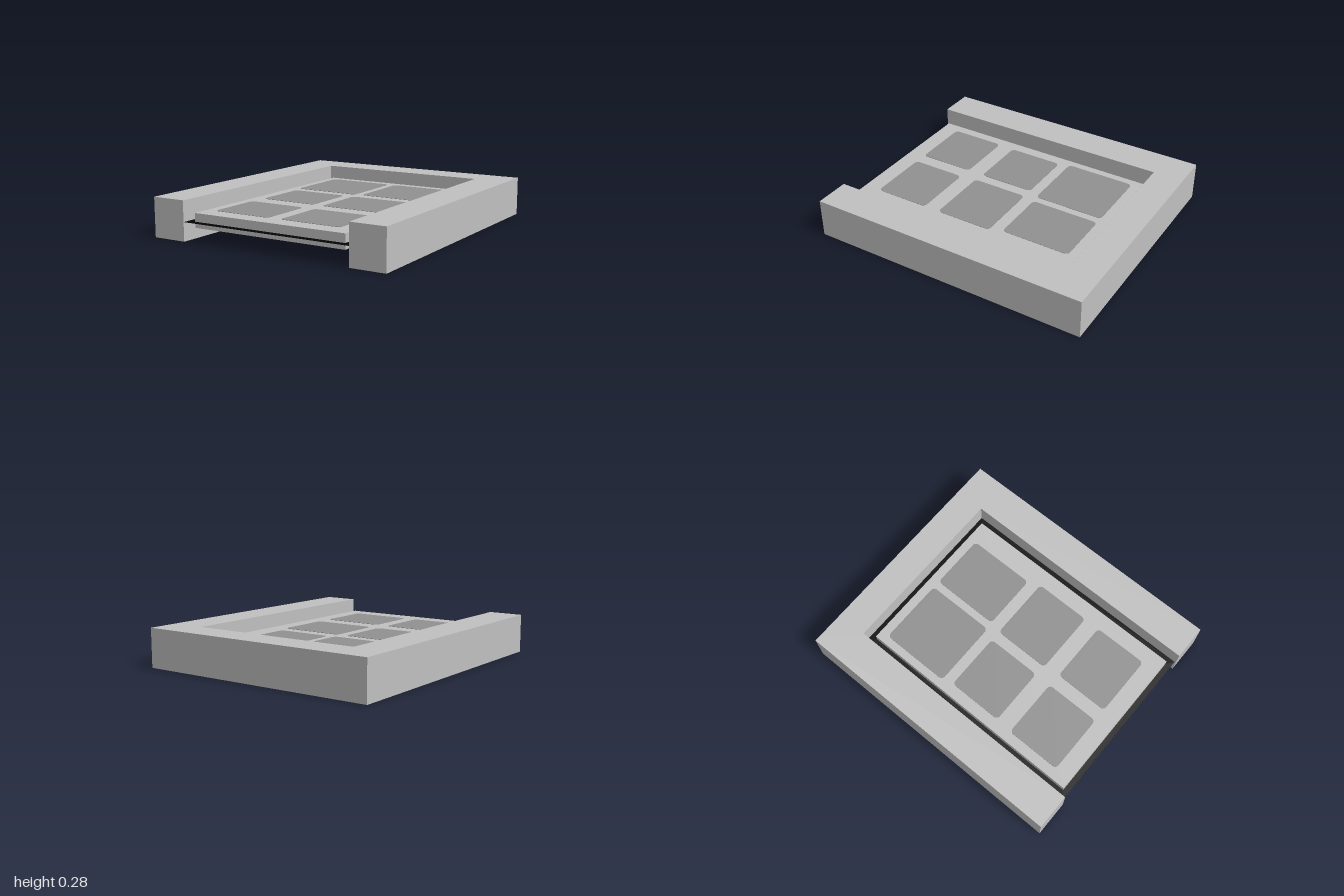
import * as THREE from 'three';

const lightGrey = new THREE.MeshStandardMaterial({ name: 'lightGrey', color: 0xc0c0c0 });
const midGrey = new THREE.MeshStandardMaterial({ name: 'midGrey', color: 0x909090 });
const black = new THREE.MeshStandardMaterial({ name: 'black', color: 0x050505 });

// Plan outlines use (x, -z), so that extruding and tipping back makes y the height
function outline(Type, points) {
  return new Type(points.map(([x, z]) => new THREE.Vector2(x, -z)));
}
const rect = (x0, x1, z0, z1) => [[x0, z1], [x1, z1], [x1, z0], [x0, z0]];

function roundedRect(x0, x1, z0, z1, r) {
  const s = new THREE.Shape();
  const corners = [[x0 + r, -z1 + r, Math.PI], [x1 - r, -z1 + r, Math.PI * 1.5],
    [x1 - r, -z0 - r, 0], [x0 + r, -z0 - r, Math.PI / 2]];
  for (const [x, y, a] of corners) s.absarc(x, y, r, a, a + Math.PI / 2, false);
  s.closePath();
  return s;
}

function plate(name, shape, y0, y1, material) {
  const geo = new THREE.ExtrudeGeometry(shape, { depth: y1 - y0, bevelEnabled: false, curveSegments: 5 });
  geo.rotateX(-Math.PI / 2).translate(0, y0, 0);
  const mesh = new THREE.Mesh(geo, material);
  mesh.name = name;
  return mesh;
}

export function createModel() {
  const model = new THREE.Group();
  model.name = 'framedPanel';

  // U-shaped surround, open at the front
  const surround = outline(THREE.Shape, [[-0.88, 1], [-0.63, 1], [-0.63, -0.78], [0.63, -0.78],
    [0.63, 1], [0.88, 1], [0.88, -1], [-0.88, -1]]);
  model.add(plate('surround', surround, 0, 0.275, lightGrey));

  // Slab held inside the surround
  model.add(plate('slab', outline(THREE.Shape, rect(-0.575, 0.575, -0.73, 0.95)), 0.09, 0.189, lightGrey));

  // Thin black sheet filling the gap around the slab
  const gap = outline(THREE.Shape, rect(-0.63, 0.63, -0.78, 0.99));
  gap.holes.push(outline(THREE.Path, rect(-0.574, 0.574, -0.729, 0.949)));
  model.add(plate('gapSheet', gap, 0.128, 0.131, black));

  // Rounded tiles on the slab: x0, x1, z0, z1
  const tiles = [
    [-0.52, -0.035, -0.665, -0.163], [0.02, 0.427, -0.665, -0.173],
    [-0.495, -0.077, -0.087, 0.31], [0, 0.463, -0.087, 0.32],
    [-0.505, -0.077, 0.432, 0.828], [0.018, 0.463, 0.436, 0.828],
  ];
  tiles.forEach((t, i) => model.add(plate(`tile${i + 1}`, roundedRect(...t, 0.03), 0.188, 0.191, midGrey)));

  return model;
}
